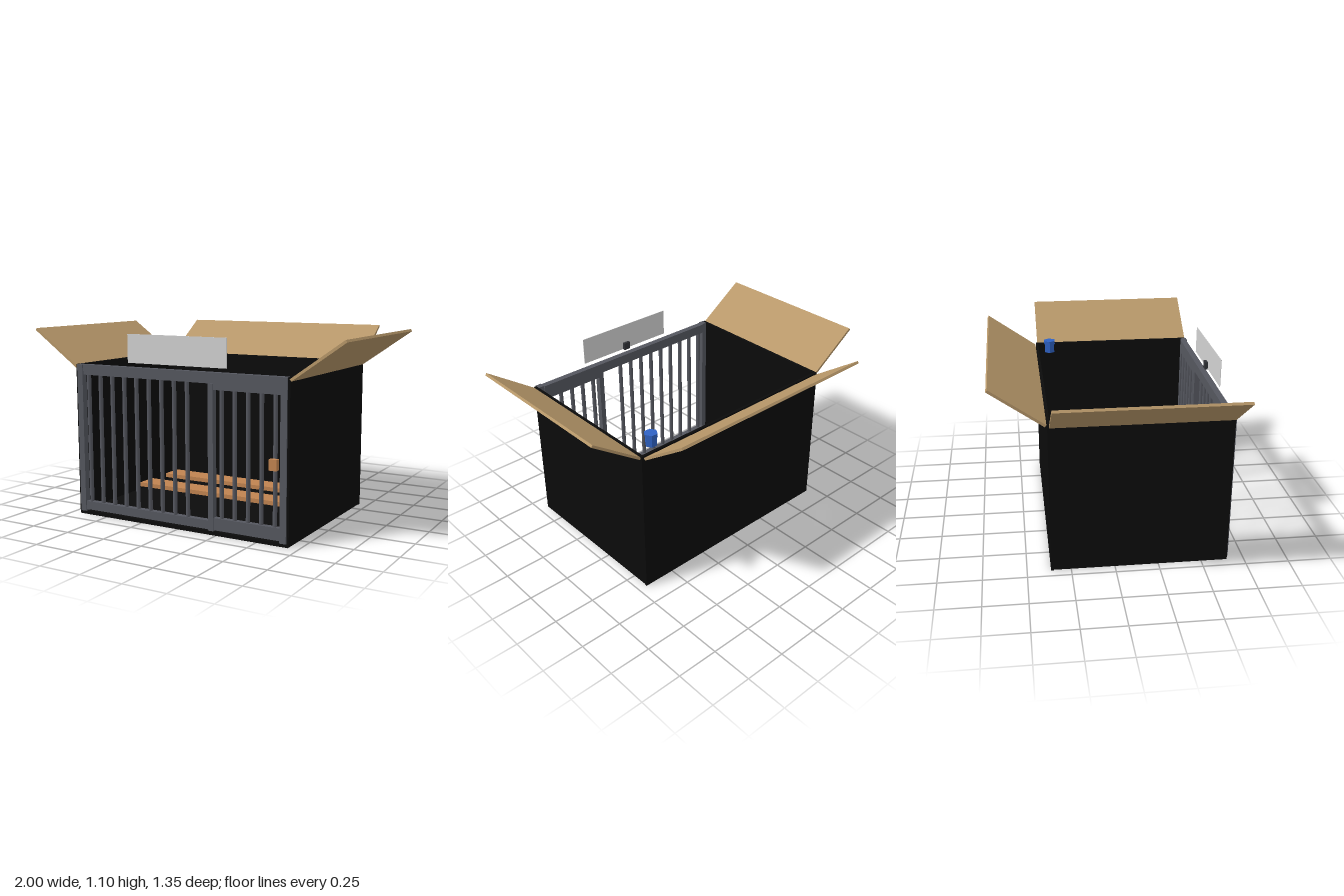
import * as THREE from 'three';

export function createModel() {
  const root = new THREE.Group();
  root.name = 'barredCrate';

  const mat = (name, color) => {
    const m = new THREE.MeshStandardMaterial({ color });
    m.name = name;
    return m;
  };
  const black = mat('blackPanel', 0x0b0b0b);
  const cardboard = mat('cardboard', 0xb8986a);
  const metal = mat('greyMetal', 0x55575f);
  const wood = mat('wood', 0xc08350);
  const blue = mat('bluePlastic', 0x2f62c4);
  const white = mat('signWhite', 0xd2d2d2);
  const dark = mat('darkClip', 0x303236);

  const add = (name, geometry, material, parent = root) => {
    const m = new THREE.Mesh(geometry, material);
    m.name = name;
    parent.add(m);
    return m;
  };
  // Box given by its limits on each axis
  const box = (name, material, [x0, x1], [y0, y1], [z0, z1], parent = root) => {
    const m = add(name, new THREE.BoxGeometry(x1 - x0, y1 - y0, z1 - z0), material, parent);
    m.position.set((x0 + x1) / 2, (y0 + y1) / 2, (z0 + z1) / 2);
    return m;
  };

  // Open-topped shell
  box('floor', black, [-0.69, 0.69], [0, 0.02], [-0.36, 0.65]);
  box('backWall', black, [-0.695, 0.695], [0, 0.9], [-0.365, -0.35]);
  for (const s of [-1, 1]) {
    const x = s * 0.6875;
    box(s > 0 ? 'leftWall' : 'rightWall', black, [x - 0.0075, x + 0.0075], [0.005, 0.9], [-0.36, 0.65]);
  }

  // Opened flaps on three sides
  const flapLength = 0.366, flapAngle = 0.61;
  for (const s of [-1, 1]) {
    const flap = add(s > 0 ? 'leftFlap' : 'rightFlap', new THREE.BoxGeometry(flapLength, 0.015, 1.005), cardboard);
    flap.position.set(s * 0.845, 0.99, 0.1475);
    flap.rotation.z = s * flapAngle;
  }
  const backFlap = add('backFlap', new THREE.BoxGeometry(1.365, 0.015, flapLength), cardboard);
  backFlap.position.set(0, 0.99, -0.522);
  backFlap.rotation.x = flapAngle;

  // Front grille
  const grille = new THREE.Group();
  grille.name = 'frontGrille';
  root.add(grille);
  box('topRail', metal, [-0.645, 0.645], [0.84, 0.9], [0.613, 0.65], grille);
  box('bottomRail', metal, [-0.65, 0.65], [0.03, 0.08], [0.615, 0.65], grille);
  for (const x of [-0.665, 0.662]) {
    box('cornerPost', metal, [x - 0.019, x + 0.019], [0.02, 0.9], [0.62, 0.657], grille);
  }
  const bar = (x, y0, y1, parent) => {
    const m = add('bar', new THREE.CylinderGeometry(0.0125, 0.0125, y1 - y0, 8), metal, parent);
    m.position.set(x, (y0 + y1) / 2, 0.633);
  };
  for (let i = 0; i < 9; i++) bar(-0.617 + i * 0.0848, 0.07, 0.85, grille);

  // Door at the left end of the grille
  const door = new THREE.Group();
  door.name = 'door';
  root.add(door);
  box('hingePost', metal, [0.206, 0.238], [0.025, 0.84], [0.62, 0.656], door);
  box('doorTopRail', metal, [0.23, 0.645], [0.807, 0.845], [0.62, 0.65], door);
  box('doorBottomRail', metal, [0.23, 0.645], [0.035, 0.1], [0.62, 0.652], door);
  for (let i = 0; i < 5; i++) bar(0.281 + i * 0.081, 0.09, 0.82, door);
  box('latch', wood, [0.587, 0.632], [0.41, 0.47], [0.645, 0.675], door);

  // Wooden slats inside
  for (const z of [-0.075, 0.213]) {
    box('slat', wood, [-0.52, 0.52], [0.105, 0.13], [z - 0.066, z + 0.066]);
  }

  // Sign plate with its clip
  box('signPlate', white, [-0.322, 0.322], [0.925, 1.088], [0.647, 0.65]);
  box('signClip', dark, [-0.022, 0.022], [0.925, 0.97], [0.628, 0.646]);

  // Six-sided cup near the back corner
  const cup = new THREE.Group();
  cup.name = 'cup';
  cup.position.set(0.56, 0, -0.28);
  root.add(cup);
  const hex = (name, r, y0, y1) => {
    const geometry = new THREE.CylinderGeometry(r, r, y1 - y0, 6).toNonIndexed();
    geometry.computeVertexNormals();
    const m = add(name, geometry, blue, cup);
    m.position.y = (y0 + y1) / 2;
    m.rotation.y = Math.PI / 6;
  };
  hex('cupBody', 0.034, 0.88, 0.935);
  hex('cupLid', 0.039, 0.935, 0.957);

  return root;
}
